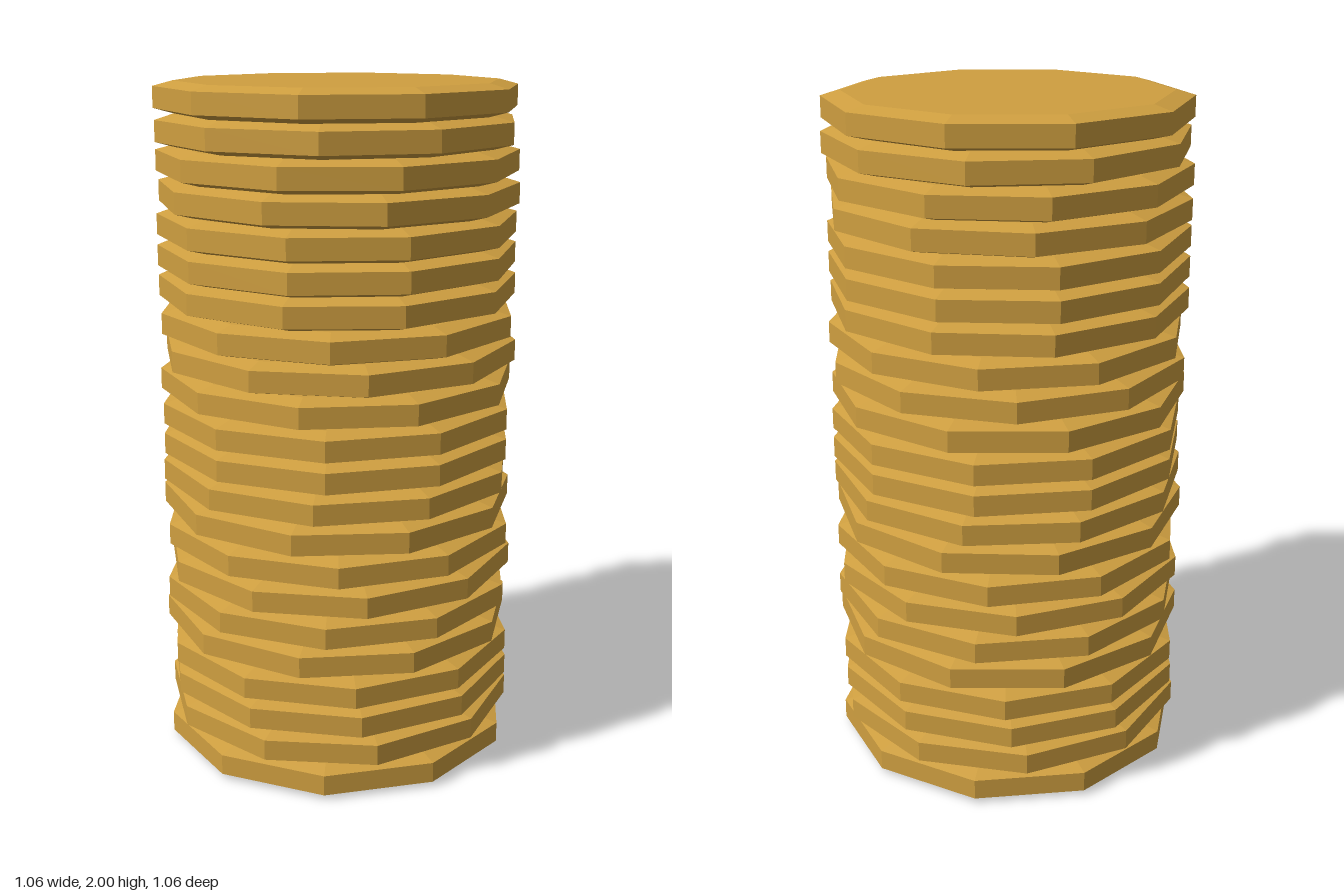
import * as THREE from 'three';

const SIDES = 10;
const RADIUS = 0.528;
const FACE_RADIUS = 0.471;
const BEVEL = 0.015;

// Twist of each coin in degrees, from the bottom of the stack to the top
const TWISTS = [
  10.3, -9, -14, -15.9, 2.7, 10.8, -12.5, 14.8, 0.5, 7.2, 10.8,
  10.8, 3, -12.5, 12.3, -1.5, 0, -0.3, -7.4, -2.8, 9.2, 3.6,
];

export function createModel() {
  const model = new THREE.Group();
  model.name = 'coinStack';

  const gold = new THREE.MeshStandardMaterial({ color: 0xcf9f40, flatShading: true });
  gold.name = 'gold';

  // Ten-sided disc with bevelled rims, shared by every coin
  const thickness = 2 / TWISTS.length;
  const profile = [
    [0, 0],
    [FACE_RADIUS, 0],
    [RADIUS, BEVEL],
    [RADIUS, thickness - BEVEL],
    [FACE_RADIUS, thickness],
    [0, thickness],
  ].map(([r, y]) => new THREE.Vector2(r, y));
  const coinGeometry = new THREE.LatheGeometry(profile, SIDES);

  // Stack the coins, each turned a little differently
  TWISTS.forEach((degrees, i) => {
    const coin = new THREE.Mesh(coinGeometry, gold);
    coin.name = `coin${i + 1}`;
    coin.position.y = i * thickness;
    coin.rotation.y = THREE.MathUtils.degToRad(degrees);
    model.add(coin);
  });

  return model;
}
